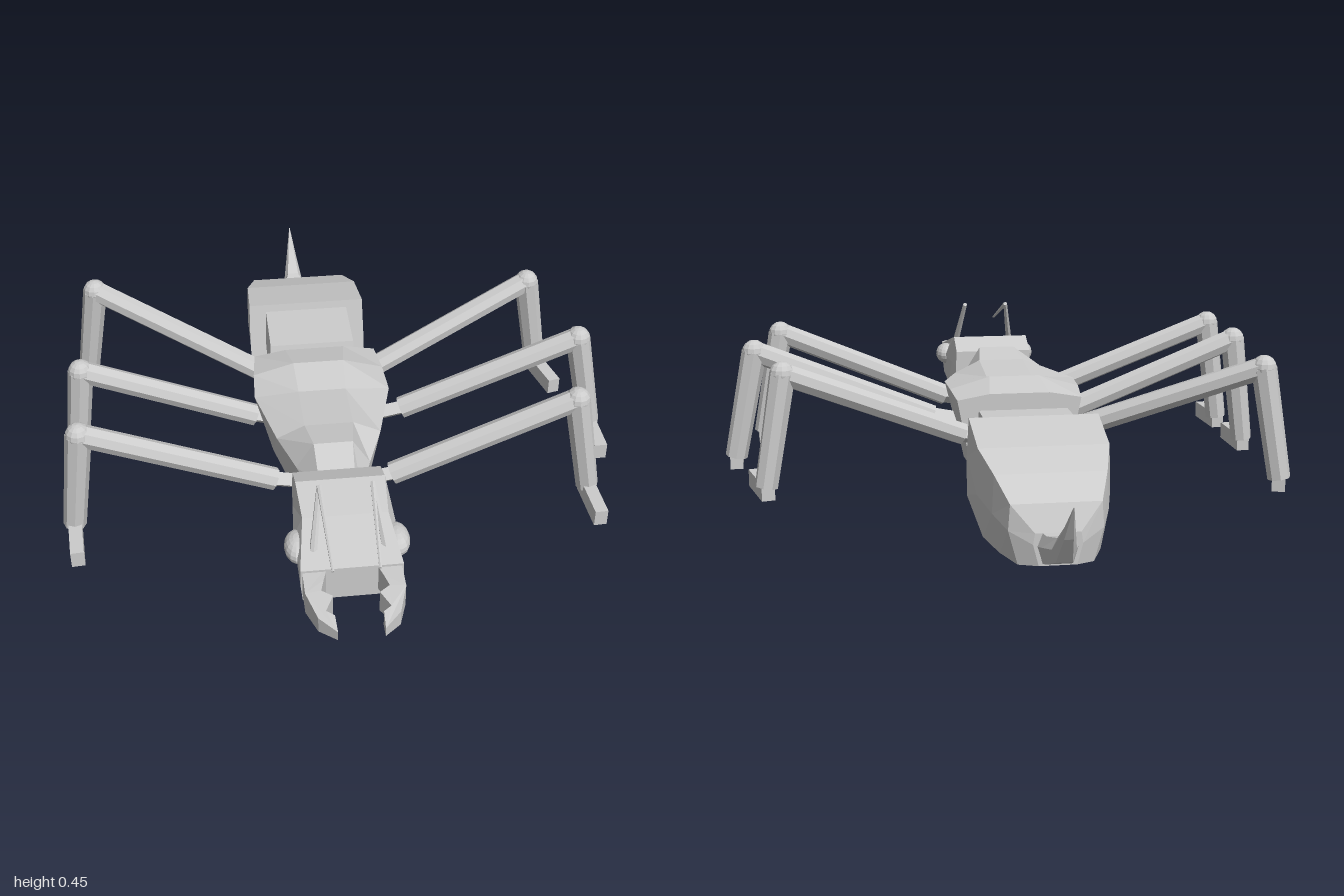
import * as THREE from 'three';

const CX = -0.047; // body centre line
const mat = new THREE.MeshStandardMaterial({ color: 0xcccccc, flatShading: true, side: THREE.DoubleSide });
const V = (x, y, z) => new THREE.Vector3(x, y, z);

function add(parent, name, geometry) {
  const mesh = new THREE.Mesh(geometry, mat);
  mesh.name = name;
  parent.add(mesh);
  return mesh;
}

// Six-sided loft, front to back.
// Section: [z, yBottom, yShoulder, yTop, halfBottom, halfShoulder, halfTop, zShiftOfTop]
function loft(sections) {
  const rings = sections.map(([z, yb, ys, yt, wb, ws, wt, dz = 0]) => {
    const zs = z + dz * (ys - yb) / Math.max(yt - yb, 1e-4);
    return [
      [-wb, yb, z], [wb, yb, z], [ws, ys, zs],
      [wt, yt, z + dz], [-wt, yt, z + dz], [-ws, ys, zs],
    ];
  });
  const pos = [];
  const tri = (a, b, c) => pos.push(...a, ...b, ...c);
  for (let i = 0; i < rings.length - 1; i++) {
    for (let k = 0; k < 6; k++) {
      const a = rings[i][k], b = rings[i][(k + 1) % 6];
      const c = rings[i + 1][(k + 1) % 6], d = rings[i + 1][k];
      tri(a, d, c);
      tri(a, c, b);
    }
  }
  const f = rings[0], r = rings[rings.length - 1];
  for (let k = 1; k < 5; k++) {
    tri(f[0], f[k], f[k + 1]);
    tri(r[0], r[k + 1], r[k]);
  }
  const g = new THREE.BufferGeometry();
  g.setAttribute('position', new THREE.Float32BufferAttribute(pos, 3));
  g.computeVertexNormals();
  return g;
}

// Straight rod between two points
function rod(parent, name, a, b, r0, r1 = r0, sides = 8) {
  const d = b.clone().sub(a);
  const mesh = add(parent, name, new THREE.CylinderGeometry(r1, r0, d.length(), sides));
  mesh.position.copy(a).add(b).multiplyScalar(0.5);
  mesh.quaternion.setFromUnitVectors(V(0, 1, 0), d.normalize());
}

function leg(name, root, hip, knee, ankle, toeX) {
  const g = new THREE.Group();
  g.name = name;
  rod(g, 'hip', root, hip, 0.026, 0.026, 4);
  rod(g, 'upperLeg', hip, knee, 0.033);
  add(g, 'knee', new THREE.SphereGeometry(0.036, 12, 8)).position.copy(knee);
  rod(g, 'lowerLeg', knee, ankle, 0.037, 0.033);
  const foot = add(g, 'foot', new THREE.BoxGeometry(0.038, 0.05, 0.165).translate(0, 0, 0.06));
  foot.position.set(ankle.x, 0.09, ankle.z);
  foot.rotation.y = Math.atan2(toeX - ankle.x, 0.14);
  return g;
}

// Toothed jaw, thinning toward the tip
function jawGeometry() {
  const outline = [
    [0.13, 0.78], [0.13, 0.87], [0.105, 0.95], [0.06, 0.995], [0.062, 0.945],
    [0.083, 0.93], [0.06, 0.885], [0.088, 0.865], [0.078, 0.83], [0.062, 0.78],
  ];
  const shape = new THREE.Shape(outline.map(([x, z]) => new THREE.Vector2(x, -z)));
  const g = new THREE.ExtrudeGeometry(shape, { depth: 1, bevelEnabled: false });
  g.translate(0, 0, -0.5).rotateX(-Math.PI / 2);
  const p = g.attributes.position;
  for (let i = 0; i < p.count; i++) {
    const t = (p.getZ(i) - 0.78) / 0.215;
    p.setY(i, 0.238 + 0.003 * t + p.getY(i) * (0.078 - 0.05 * t * t));
  }
  g.computeVertexNormals();
  return g;
}

export function createModel() {
  const model = new THREE.Group();
  model.name = 'ant';
  const body = new THREE.Group();
  body.name = 'body';
  body.position.x = CX;
  model.add(body);

  add(body, 'head', loft([
    [0.8, 0.18, 0.23, 0.283, 0.13, 0.135, 0.135],
    [0.65, 0.175, 0.27, 0.33, 0.13, 0.14, 0.115],
    [0.53, 0.17, 0.27, 0.355, 0.128, 0.13, 0.122],
    [0.45, 0.165, 0.27, 0.32, 0.123, 0.125, 0.122],
  ]));
  add(body, 'thorax', loft([
    [0.47, 0.17, 0.25, 0.29, 0.06, 0.068, 0.05],
    [0.37, 0.15, 0.27, 0.35, 0.09, 0.105, 0.055],
    [0.26, 0.125, 0.29, 0.33, 0.115, 0.15, 0.07],
    [0.08, 0.1, 0.305, 0.315, 0.15, 0.2, 0.07],
    [-0.03, 0.095, 0.305, 0.34, 0.155, 0.195, 0.075],
    [-0.14, 0.09, 0.295, 0.312, 0.145, 0.185, 0.09],
  ]));
  add(body, 'waist', loft([
    [-0.12, 0.12, 0.2, 0.25, 0.1, 0.11, 0.1],
    [-0.24, 0.12, 0.2, 0.25, 0.1, 0.11, 0.1],
  ]));
  add(body, 'waistSegment', loft([
    [-0.155, 0.085, 0.19, 0.28, 0.13, 0.135, 0.13, -0.055],
    [-0.4, 0.075, 0.19, 0.285, 0.13, 0.135, 0.13],
  ]));
  add(body, 'abdomen', loft([
    [-0.345, 0.07, 0.19, 0.308, 0.182, 0.185, 0.182, -0.055],
    [-0.57, 0.02, 0.14, 0.267, 0.165, 0.182, 0.178],
    [-0.68, 0.012, 0.12, 0.225, 0.135, 0.155, 0.15],
    [-0.765, 0.008, 0.1, 0.17, 0.1, 0.125, 0.12],
    [-0.795, 0.012, 0.07, 0.1, 0.05, 0.065, 0.06],
  ]));
  add(body, 'stinger', loft([
    [-0.77, 0.01, 0.06, 0.1, 0.045, 0.06, 0.045],
    [-0.82, 0.025, 0.07, 0.1, 0.035, 0.047, 0.035],
    [-0.88, 0.05, 0.085, 0.115, 0.022, 0.032, 0.018],
    [-0.94, 0.13, 0.15, 0.165, 0.012, 0.017, 0.01],
    [-1, 0.23, 0.231, 0.232, 0.001, 0.001, 0.001],
  ]));

  // Paired parts of the head
  for (const s of [1, -1]) {
    const side = s > 0 ? 'left' : 'right';
    const eye = add(body, side + 'Eye', new THREE.SphereGeometry(1, 14, 10));
    eye.scale.set(0.035, 0.034, 0.057);
    eye.position.set(s * 0.133, 0.268, 0.69);

    const jaw = add(body, side + 'Jaw', jawGeometry());
    jaw.scale.x = s;

    const bend = V(s * 0.07, 0.443, 0.655);
    rod(body, side + 'AntennaBase', V(s * 0.095, 0.295, 0.74), bend, 0.011, 0.007, 6);
    rod(body, side + 'AntennaTip', bend, V(s * 0.06, 0.357, 0.885), 0.007, 0.004, 6);
  }

  // Legs: root, hip, knee, ankle, x of the toe
  const legs = [
    ['frontRightLeg', V(-0.1, 0.19, 0.345), V(-0.21, 0.212, 0.345), V(-0.745, 0.42, 0.342), V(-0.787, 0.1, 0.342), -0.777],
    ['middleRightLeg', V(-0.15, 0.19, 0.05), V(-0.245, 0.217, 0.05), V(-0.745, 0.42, 0.048), V(-0.785, 0.1, 0.048), -0.78],
    ['backRightLeg', V(-0.12, 0.19, -0.14), V(-0.21, 0.212, -0.175), V(-0.71, 0.42, -0.375), V(-0.76, 0.1, -0.4), -0.81],
    ['frontLeftLeg', V(0.01, 0.18, 0.345), V(0.125, 0.2, 0.345), V(0.65, 0.42, 0.342), V(0.71, 0.1, 0.342), 0.717],
    ['middleLeftLeg', V(0.07, 0.18, 0.05), V(0.195, 0.205, 0.05), V(0.725, 0.42, 0.048), V(0.79, 0.1, 0.048), 0.793],
    ['backLeftLeg', V(0.04, 0.18, -0.14), V(0.125, 0.2, -0.162), V(0.64, 0.42, -0.275), V(0.695, 0.1, -0.29), 0.73],
  ];
  for (const l of legs) model.add(leg(...l));

  return model;
}
